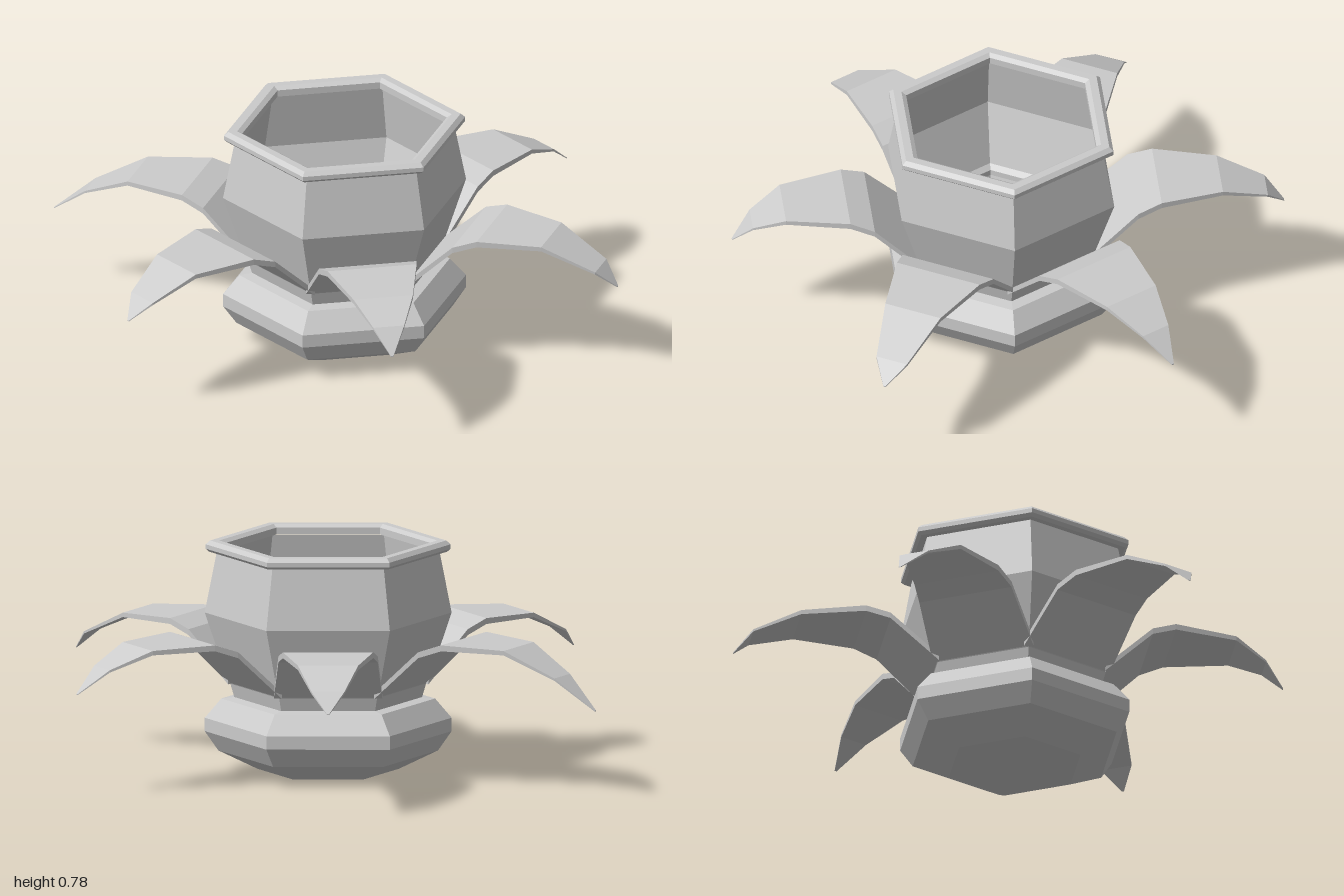
import * as THREE from 'three';

const material = new THREE.MeshStandardMaterial({ color: 0xcccccc, flatShading: true, side: THREE.DoubleSide });

// Six-sided turned part from [radius, height] pairs, one corner facing +z
function hexLathe(name, profile) {
  const points = profile.map(([r, y]) => new THREE.Vector2(r, y));
  const mesh = new THREE.Mesh(new THREE.LatheGeometry(points, 6), material);
  mesh.name = name;
  return mesh;
}

// Thin drooping leaf along +x from sections [distance, height, half width, thickness]
function leafGeometry(sections) {
  const positions = [];
  const index = [];
  sections.forEach(([d, y, w, t]) => {
    positions.push(d, y, -w, d, y, w, d, y - t, w, d, y - t, -w);
  });
  for (let s = 0; s < sections.length - 1; s++) {
    for (let k = 0; k < 4; k++) {
      const a = s * 4 + k, b = s * 4 + (k + 1) % 4;
      index.push(a, b, b + 4, a, b + 4, a + 4);
    }
  }
  const end = (sections.length - 1) * 4;
  index.push(0, 2, 1, 0, 3, 2, end, end + 1, end + 2, end, end + 2, end + 3);
  const geometry = new THREE.BufferGeometry();
  geometry.setAttribute('position', new THREE.Float32BufferAttribute(positions, 3));
  geometry.setIndex(index);
  const flat = geometry.toNonIndexed();
  flat.computeVertexNormals();
  return flat;
}

export function createModel() {
  const model = new THREE.Group();
  model.name = 'leafyPot';

  // Open shell: rounded foot, narrow neck, flaring bowl
  model.add(hexLathe('potBody', [
    [0, 0], [0.235, 0.008], [0.365, 0.07], [0.41, 0.135], [0.41, 0.18],
    [0.355, 0.245], [0.312, 0.25], [0.325, 0.295], [0.335, 0.31],
    [0.41, 0.535], [0.37, 0.74],
  ]));

  // Rolled rim
  model.add(hexLathe('rim', [
    [0.345, 0.745], [0.395, 0.74], [0.407, 0.75], [0.407, 0.765], [0.392, 0.778],
    [0.362, 0.778], [0.345, 0.768], [0.345, 0.745],
  ]));

  // Leaves growing from the neck, one per side: angle, tip distance, tip height, blunt tip
  const leaves = [
    [0, 0.965, 0.335, true],
    [60, 0.963, 0.345, false],
    [120, 0.945, 0.36, true],
    [180, 1.025, 0.295, false],
    [240, 0.94, 0.345, true],
    [300, 0.9, 0.35, false],
  ];
  for (const [angle, tip, tipY, blunt] of leaves) {
    const sections = [
      [0.28, 0.315, 0.18, 0.02],
      [0.44, 0.465, 0.165, 0.02],
      [0.52, 0.493, 0.15, 0.02],
      [0.73, 0.485, 0.1, 0.015],
    ];
    if (blunt) sections.push([tip - 0.06, tipY + 0.065, 0.055, 0.008]);
    else sections.push([(tip + 0.73) / 2 + 0.02, (tipY + 0.485) / 2 + 0.01, 0.052, 0.008]);
    sections.push([tip, tipY, 0.004, 0.003]);
    const leaf = new THREE.Mesh(leafGeometry(sections), material);
    leaf.name = 'leaf';
    leaf.rotation.y = THREE.MathUtils.degToRad(angle);
    model.add(leaf);
  }

  // The pot sits slightly off the middle of the leaf spread
  for (const part of model.children) part.position.set(0.027, 0, 0.012);
  return model;
}
